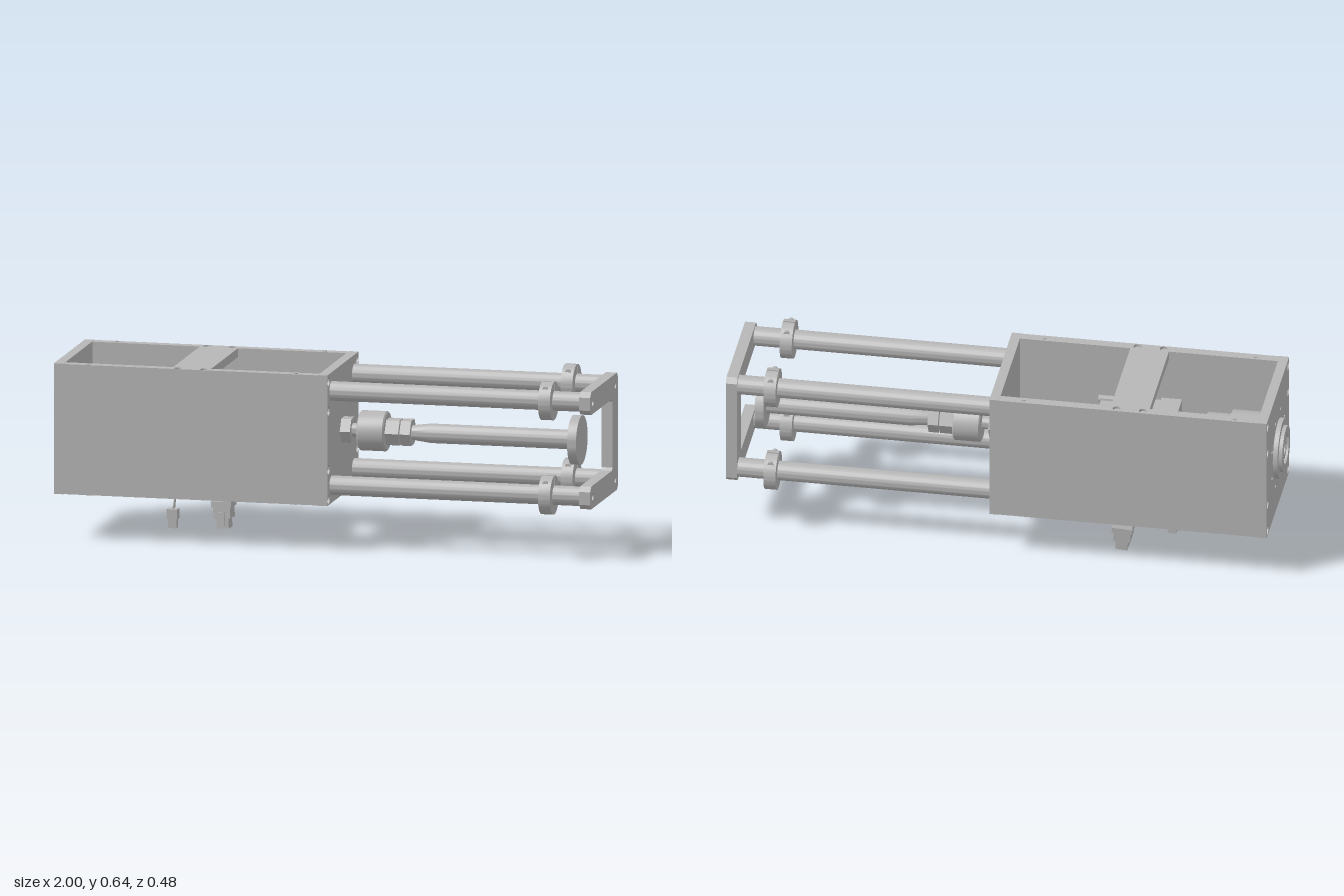
import * as THREE from 'three';
import { toCreasedNormals } from 'three/addons/utils/BufferGeometryUtils.js';

const metal = new THREE.MeshStandardMaterial({ color: 0xb6b6b6 });
metal.name = 'grey metal';
const CY = 0.4; // height of the main axis
const ROD_Y = 0.1715, ROD_Z = 0.172;
const signs = [-1, 1];

export function createModel() {
  const model = new THREE.Group();
  model.name = 'linearActuator';

  const add = (name, geo, x = 0, y = 0, z = 0, parent = model) => {
    const m = new THREE.Mesh(geo, metal);
    m.name = name;
    m.position.set(x, y, z);
    parent.add(m);
    return m;
  };
  const box = (name, x0, x1, y0, y1, z0, z1) =>
    add(name, new THREE.BoxGeometry(x1 - x0, y1 - y0, z1 - z0), (x0 + x1) / 2, (y0 + y1) / 2, (z0 + z1) / 2);
  // turned part along x; profile is [radius, x] with x rising
  const turned = (name, profile, y = CY, z = 0, sides = 40) => {
    const g = new THREE.LatheGeometry(profile.map(p => new THREE.Vector2(...p)), sides).rotateZ(-Math.PI / 2);
    return add(name, toCreasedNormals(g, sides < 10 ? 0.1 : 0.6), 0, y, z);
  };
  const rodX = (name, x0, x1, r, y = CY, z = 0, sides = 40) =>
    turned(name, [[0, x0], [r, x0], [r, x1], [0, x1]], y, z, sides);
  const poly = pts => new THREE.Shape(pts.map(p => new THREE.Vector2(...p)));
  const hole = (shape, u, v, r) => shape.holes.push(new THREE.Path().absarc(u, v, r, 0, Math.PI * 2, true));
  // shape drawn in (-z, y), extruded along x
  const plateX = (name, shape, x0, depth, y = 0, z = 0) => {
    const g = new THREE.ExtrudeGeometry(shape, { depth, bevelEnabled: false, curveSegments: 24 });
    return add(name, toCreasedNormals(g.rotateY(Math.PI / 2), 0.5), x0, y, z);
  };
  // socket screw whose head faces +x or -x
  const screwX = (x, y, z, r, dir) => {
    const p = [[0, -0.016], [r, -0.016], [r, 0], [r * 0.55, 0], [r * 0.55, -0.008], [0, -0.008]];
    const m = turned('screw', p, y, z, 20);
    m.position.x = x;
    if (dir < 0) m.rotation.y = Math.PI;
  };

  // side walls, notched for the cross straps
  for (const s of signs) {
    const wall = poly([[-0.935, 0.165], [-0.54, 0.165], [-0.54, 0.197], [-0.4, 0.197], [-0.4, 0.165], [0, 0.165],
      [0, 0.638], [-0.4, 0.638], [-0.4, 0.606], [-0.54, 0.606], [-0.54, 0.638], [-0.935, 0.638]]);
    add('sideWall', new THREE.ExtrudeGeometry(wall, { depth: 0.035, bevelEnabled: false }), 0, 0, s > 0 ? 0.203 : -0.238);
  }
  // end plates with screws along both edges
  for (const [name, x0, dir] of [['rearPlate', -0.97, -1], ['frontPlate', 0, 1]]) {
    const plate = poly([[-0.238, 0.164], [0.238, 0.164], [0.238, 0.639], [-0.238, 0.639]]);
    for (const s of signs) for (const dy of [-0.214, -0.107, 0.107, 0.214]) {
      hole(plate, s * 0.218, CY + dy, 0.017);
      screwX(dir > 0 ? 0.029 : -0.964, CY + dy, s * 0.218, 0.013, dir);
    }
    plateX(name, plate, x0, 0.035);
  }
  // cross straps with their screws, and small dowels on the wall edges
  for (const s of signs) {
    const edge = s > 0 ? 0.638 : 0.165;
    const strap = new THREE.Shape([[-0.54, -0.238], [-0.4, -0.238], [-0.4, 0.238], [-0.54, 0.238]].map(p => new THREE.Vector2(...p)));
    for (const x of [-0.518, -0.423]) for (const z of signs) {
      hole(strap, x, z * 0.22, 0.014);
      add('strapScrew', new THREE.CylinderGeometry(0.01, 0.01, 0.02, 16), x, edge - s * 0.016, z * 0.22);
    }
    const g = new THREE.ExtrudeGeometry(strap, { depth: 0.032, bevelEnabled: false });
    add('crossStrap', g.rotateX(-Math.PI / 2), 0, s > 0 ? 0.606 : 0.165, 0);
    for (const x of [-0.85, -0.085]) for (const z of signs)
      add('dowel', new THREE.CylinderGeometry(0.008, 0.008, 0.006, 12), x, edge, z * 0.22);
  }

  // gearbox and motor inside the housing
  turned('gearbox', [[0, -0.937], [0.155, -0.937], [0.155, -0.922], [0.125, -0.922], [0.125, -0.8], [0.108, -0.8],
    [0.108, -0.71], [0.098, -0.71], [0.098, -0.6], [0, -0.6]]);
  box('motorFlange', -0.605, -0.53, CY - 0.104, CY + 0.104, -0.104, 0.104);
  box('motorBody', -0.53, -0.36, CY - 0.098, CY + 0.098, -0.098, 0.098);
  box('motorCap', -0.36, -0.315, CY - 0.088, CY + 0.088, -0.088, 0.088);
  for (const sy of signs) for (const sz of signs)
    rodX('motorBolt', -0.39, -0.305, 0.013, CY + sy * 0.088, sz * 0.088, 12);

  // output hub on the rear plate
  turned('outputHub', [[0, -0.985], [0.02, -0.985], [0.02, -0.995], [0.038, -0.995], [0.038, -0.985], [0.055, -0.985],
    [0.055, -1], [0.085, -1], [0.085, -0.987], [0.11, -0.987], [0.11, -0.965], [0, -0.965]]);
  for (let i = 0; i < 8; i++) {
    const a = (i + 0.5) * Math.PI / 4;
    rodX('hubPin', -0.973, -0.965, 0.006, CY + 0.14 * Math.sin(a), 0.14 * Math.cos(a), 10);
  }

  // centre spindle: nuts, coupling, push rod and pad
  rodX('spindle', -0.012, 0.3, 0.024);
  rodX('innerNut', -0.012, 0, 0.034);
  rodX('hexNut', 0.035, 0.072, 0.05, CY, 0, 6);
  turned('coupling', [[0, 0.1], [0.067, 0.1], [0.072, 0.105], [0.072, 0.195], [0.067, 0.2], [0, 0.2]]);
  rodX('couplingHex', 0.2, 0.25, 0.052, CY, 0, 6);
  rodX('lockNut', 0.254, 0.292, 0.052, CY, 0, 6);
  turned('pushRod', [[0, 0.29], [0.026, 0.29], [0.035, 0.36], [0.035, 0.882], [0, 0.882]]);
  rodX('pushPad', 0.88, 0.913, 0.089, CY, 0, 56);

  // guide rods and split clamp collars
  for (const sy of signs) for (const sz of signs) {
    const y = CY + sy * ROD_Y, z = sz * ROD_Z;
    rodX('guideRod', 0.02, 0.956, 0.035, y, z);
    const collar = new THREE.Shape();
    const q = Math.PI / 2, turn = Math.PI * 2;
    collar.absarc(0, 0, 0.07, q + 0.05, q - 0.05 + turn, false);
    collar.absarc(0, 0, 0.035, q - 0.1 + turn, q + 0.1, true);
    plateX('clampCollar', collar, 0.81, 0.044, y, z);
    add('clampScrew', new THREE.CylinderGeometry(0.011, 0.011, 0.1, 16).rotateX(Math.PI / 2), 0.832, y + 0.048, z);
    screwX(0.99, y, z, 0.012, 1);
  }

  // C-shaped end bracket, open towards the front
  const c = 0.018, h = 0.213;
  const bracket = poly([[-h + c, -h], [h - c, -h], [h, -h + c], [h, h - c], [h - c, h], [-h + c, h], [-h, h - c],
    [-h, 0.13 + c], [-h + c, 0.13], [0.118, 0.13], [0.128, 0.12], [0.128, -0.12], [0.118, -0.13],
    [-h + c, -0.13], [-h, -0.13 - c], [-h, -h + c]]);
  for (const sy of signs) for (const sz of signs) hole(bracket, sz * ROD_Z, sy * ROD_Y, 0.0125);
  plateX('endBracket', bracket, 0.955, 0.04, CY);

  // small cable and plug
  const wire = (name, pts, r) => add(name, new THREE.TubeGeometry(
    new THREE.CatmullRomCurve3(pts.map(p => new THREE.Vector3(...p))), 16, r, 10));
  wire('sensorCable', [[-0.582, 0.12, 0], [-0.582, 0.22, 0], [-0.57, 0.33, 0]], 0.0095);
  for (const s of signs) wire('sensorWire', [[-0.582, 0.125, s * 0.003], [-0.585, 0.1, s * 0.008], [-0.588, 0.08, s * 0.011]], 0.003);
  box('sensorPlug', -0.61, -0.57, 0.048, 0.084, -0.017, 0.017);
  box('sensorPlugTip', -0.604, -0.574, 0.015, 0.048, -0.014, 0.014);

  // large cable and plug, hanging slightly tilted
  wire('powerCable', [[-0.43, 0.14, -0.105], [-0.43, 0.2, -0.105], [-0.43, 0.28, -0.085], [-0.43, 0.33, -0.06]], 0.009);
  const plug = new THREE.Group();
  plug.name = 'powerPlug';
  plug.position.set(-0.43, 0.08, -0.11);
  plug.rotation.set(-0.05, 0, 0.06);
  model.add(plug);
  const shell = poly([[-0.04, 0], [0.042, 0], [0.042, 0.02], [0.028, 0.05], [0.026, 0.074], [-0.034, 0.074], [-0.032, 0.045], [-0.04, 0.022]]);
  const shellGeo = new THREE.ExtrudeGeometry(shell, { depth: 0.074, bevelEnabled: false });
  add('plugShell', shellGeo.rotateY(Math.PI / 2), -0.037, 0, 0, plug);
  add('plugBody', new THREE.BoxGeometry(0.062, 0.042, 0.07), 0, -0.02, 0, plug);
  add('plugTip', new THREE.BoxGeometry(0.044, 0.04, 0.056), 0, -0.058, 0, plug);
  add('plugLatch', new THREE.BoxGeometry(0.02, 0.05, 0.008), 0, -0.042, 0.037, plug);
  add('plugScrew', new THREE.CylinderGeometry(0.007, 0.007, 0.08, 12).rotateZ(Math.PI / 2), 0, 0.058, 0.012, plug);

  return model;
}
